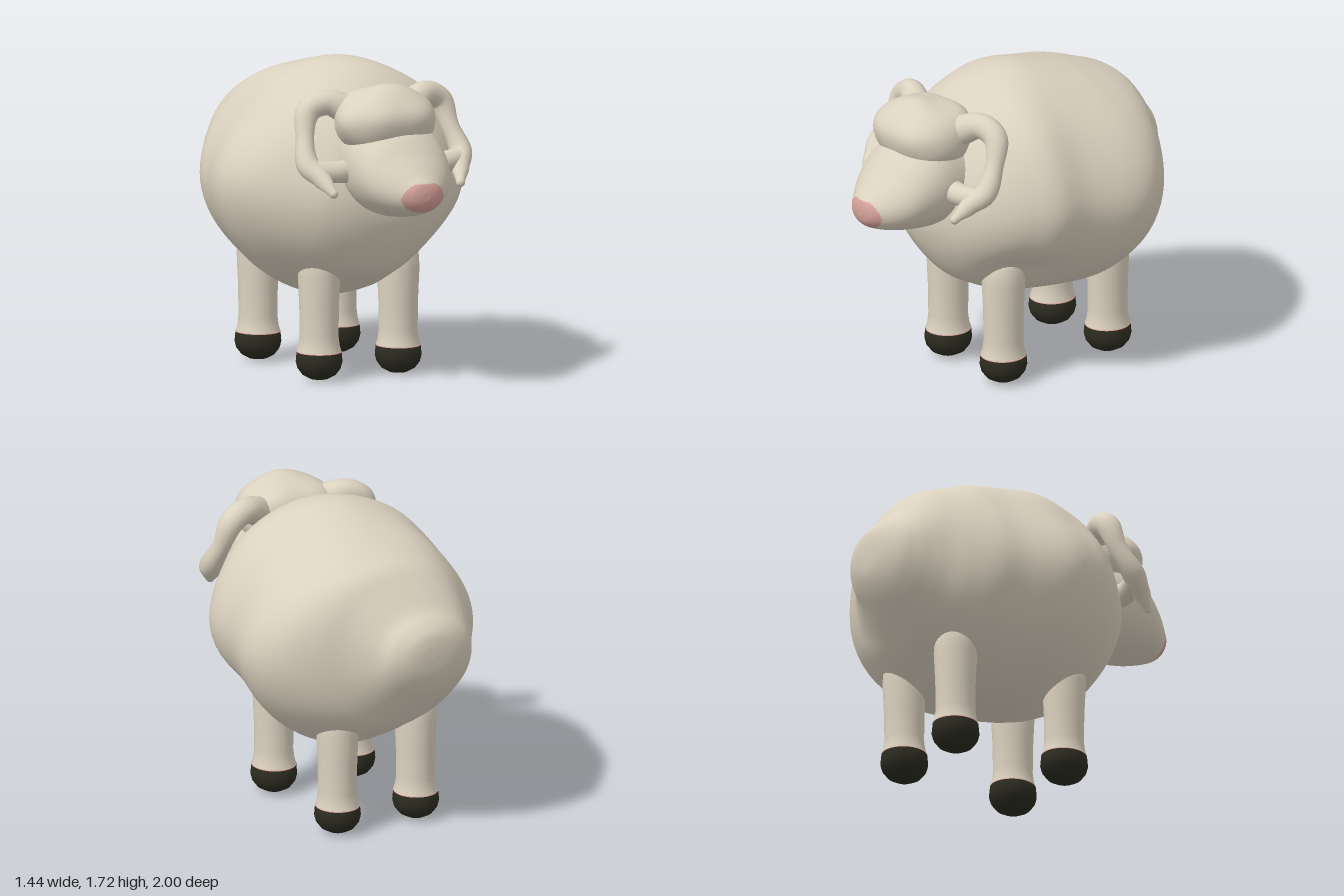
import * as THREE from 'three';

const mat = (name, color) => {
  const m = new THREE.MeshStandardMaterial({ color });
  m.name = name;
  return m;
};

// Cubic interpolation of one column of a section table
function spline(p0, p1, p2, p3, t) {
  const a = (p2 - p0) / 2, b = (p3 - p1) / 2;
  return (2 * p1 - 2 * p2 + a + b) * t ** 3 + (-3 * p1 + 3 * p2 - 2 * a - b) * t * t + a * t + p1;
}

// Loft along z through sections [z, xMin, xMax, yMin, yMax, power], where power sets how boxy the ring is.
// lumps [x, y, z, radius, height] push the skin out or in; isSecond(y, z) picks faces for a second material
function loft(sections, { steps = 6, sides = 72, floor = -1, lumps = [], isSecond = () => false } = {}) {
  const rows = [];
  const n = sections.length;
  for (let i = 0; i < n - 1; i++) {
    for (let k = 0; k < steps; k++) {
      const pick = [Math.max(i - 1, 0), i, i + 1, Math.min(i + 2, n - 1)].map((q) => sections[q]);
      rows.push(sections[0].map((_, c) => spline(...pick.map((s) => s[c]), k / steps)));
    }
  }
  rows.push(sections[n - 1]);

  const pos = [];
  for (const [z, x0, x1, y0, y1, power] of rows) {
    for (let j = 0; j < sides; j++) {
      const a = (j / sides) * Math.PI * 2;
      const c = Math.cos(a), s = Math.sin(a);
      const r = (Math.abs(c) ** power + Math.abs(s) ** power) ** (-1 / power);
      let x = (x0 + x1) / 2 + ((x1 - x0) / 2) * r * c;
      let y = (y0 + y1) / 2 + ((y1 - y0) / 2) * r * s;
      let push = 0;
      for (const [lx, ly, lz, lr, h] of lumps) {
        push += h * Math.exp(-((x - lx) ** 2 + (y - ly) ** 2 + (z - lz) ** 2) / (lr * lr));
      }
      x += push * c;
      y += push * s;
      pos.push(x, Math.max(y, floor), z);
    }
  }
  for (const [z, x0, x1, y0, y1] of [rows[0], rows[rows.length - 1]]) pos.push((x0 + x1) / 2, (y0 + y1) / 2, z);

  const faces = [[], []];
  const face = (...tri) => {
    const mean = (axis) => tri.reduce((sum, v) => sum + pos[v * 3 + axis], 0) / 3;
    faces[isSecond(mean(1), mean(2)) ? 1 : 0].push(...tri);
  };
  const first = rows.length * sides, base = first - sides;
  for (let j = 0; j < sides; j++) {
    const k = (j + 1) % sides;
    face(first, k, j);
    for (let i = 0; i < base; i += sides) {
      face(i + j, i + k, i + j + sides);
      face(i + k, i + k + sides, i + j + sides);
    }
    face(first + 1, base + j, base + k);
  }

  const g = new THREE.BufferGeometry();
  g.setAttribute('position', new THREE.Float32BufferAttribute(pos, 3));
  g.setIndex(faces.flat());
  g.addGroup(0, faces[0].length, 0);
  g.addGroup(faces[0].length, faces[1].length, 1);
  g.computeVertexNormals();
  return g;
}

// Rounded-box blob with soft bumps [dx, dy, dz, height]
function blob(radii, power, bumps) {
  const g = new THREE.SphereGeometry(1, 48, 32);
  const p = g.attributes.position, v = new THREE.Vector3();
  const lumps = bumps.map(([x, y, z, h]) => [new THREE.Vector3(x, y, z).normalize(), h]);
  for (let i = 0; i < p.count; i++) {
    v.fromBufferAttribute(p, i).normalize();
    let r = (Math.abs(v.x) ** power + Math.abs(v.y) ** power + Math.abs(v.z) ** power) ** (-1 / power);
    for (const [d, h] of lumps) r += h * Math.exp(-d.distanceToSquared(v) / 0.16);
    v.multiplyScalar(r);
    p.setXYZ(i, v.x * radii[0], v.y * radii[1], v.z * radii[2]);
  }
  g.computeVertexNormals();
  return g;
}

// Tube with a radius for each path point [x, y, z, r], mirrored by side
function taperedTube(points, side) {
  const curve = new THREE.CatmullRomCurve3(points.map(([x, y, z]) => new THREE.Vector3(x * side, y, z)));
  const segs = 40, sides = 18;
  const g = new THREE.TubeGeometry(curve, segs, 1, sides);
  const p = g.attributes.position, v = new THREE.Vector3();
  for (let i = 0; i <= segs; i++) {
    const u = curve.getUtoTmapping(i / segs) * (points.length - 1);
    const k = Math.min(Math.floor(u), points.length - 2);
    const r = THREE.MathUtils.lerp(points[k][3], points[k + 1][3], THREE.MathUtils.smoothstep(u - k, 0, 1));
    const c = curve.getPointAt(i / segs);
    for (let j = 0; j <= sides; j++) {
      const q = i * (sides + 1) + j;
      v.fromBufferAttribute(p, q).sub(c).multiplyScalar(r).add(c);
      p.setXYZ(q, v.x, v.y, v.z);
    }
  }
  return g;
}

const lathe = (pts) => new THREE.LatheGeometry(pts.map(([x, y]) => new THREE.Vector2(x, y)), 28);

export function createModel() {
  const wool = mat('wool cream', 0xdbd1bf);
  const pink = mat('nose pink', 0xd6a19a);
  const dark = mat('hoof black', 0x2b2b20);
  const model = new THREE.Group();
  model.name = 'sheep';
  const add = (name, geometry, material, x = 0, y = 0, z = 0, parent = model) => {
    const m = new THREE.Mesh(geometry, material);
    m.name = name;
    m.position.set(x, y, z);
    parent.add(m);
  };

  // Fleecy body, slightly lopsided, flat under the belly
  add('body', loft([
    [-1.0, -0.1, -0.02, 1.09, 1.16, 2],
    [-0.985, -0.23, 0.06, 0.99, 1.23, 2],
    [-0.94, -0.34, 0.14, 0.9, 1.285, 2.1],
    [-0.87, -0.39, 0.2, 0.81, 1.34, 2.2],
    [-0.78, -0.43, 0.32, 0.71, 1.45, 2.25],
    [-0.7, -0.47, 0.47, 0.63, 1.535, 2.2],
    [-0.6, -0.54, 0.605, 0.56, 1.58, 2.05],
    [-0.47, -0.615, 0.7, 0.48, 1.625, 1.87],
    [-0.32, -0.65, 0.72, 0.42, 1.665, 1.8],
    [-0.07, -0.72, 0.67, 0.41, 1.71, 1.77],
    [0.13, -0.67, 0.665, 0.46, 1.68, 1.8],
    [0.27, -0.59, 0.59, 0.52, 1.605, 1.85],
    [0.4, -0.47, 0.48, 0.6, 1.48, 1.9],
    [0.5, -0.35, 0.35, 0.74, 1.31, 2],
    [0.555, -0.19, 0.19, 0.88, 1.15, 2],
    [0.57, -0.03, 0.03, 0.99, 1.03, 2],
  ], {
    floor: 0.43,
    lumps: [
      [0.42, 0.64, 0.2, 0.2, -0.08], [0.4, 1.5, 0.1, 0.25, 0.025], [0.15, 1.7, 0, 0.2, 0.012],
      [-0.56, 1.4, 0, 0.2, -0.035], [-0.3, 1.55, -0.4, 0.2, 0.035], [0.55, 1.1, -0.62, 0.2, 0.015],
    ],
  }), [wool, wool]);

  // Blunt head with a pink nose
  add('head', loft([
    [0.4, -0.25, 0.25, 0.97, 1.45, 2],
    [0.6, -0.28, 0.28, 0.945, 1.5, 2],
    [0.75, -0.262, 0.262, 0.96, 1.42, 2],
    [0.85, -0.215, 0.215, 0.98, 1.315, 2],
    [0.94, -0.135, 0.135, 1.01, 1.22, 2],
    [0.985, -0.08, 0.08, 1.045, 1.175, 2],
    [1.0, -0.025, 0.025, 1.085, 1.13, 2],
  ], { steps: 10, isSecond: (y, z) => y < 1.175 && z > 0.943 + 0.35 * Math.max(0, y - 1.09) }), [wool, pink]);

  // Woolly forelock
  add('forelock', blob([0.272, 0.18, 0.22], 2.35, [
    [0, 1, 0.25, 0.16], [-1, 0.1, 0.3, 0.1], [0.5, 0.8, -0.8, 0.14], [-0.5, 0.6, -0.8, 0.1],
    [0.45, 0.2, 1, 0.1], [-0.45, 0.2, 1, 0.1],
  ]), wool, -0.02, 1.457, 0.545);

  // Curled horns, each joined to the cheek by an ear
  const hornPath = [
    [0.17, 1.5, 0.46, 0.085], [0.3, 1.555, 0.4, 0.07], [0.4, 1.51, 0.38, 0.066],
    [0.44, 1.37, 0.42, 0.05], [0.463, 1.24, 0.5, 0.062], [0.42, 1.17, 0.58, 0.05], [0.385, 1.1, 0.65, 0.025],
  ];
  const earPath = [[0.18, 1.2, 0.55, 0.07], [0.33, 1.2, 0.555, 0.06], [0.46, 1.215, 0.52, 0.055]];
  for (const side of [1, -1]) {
    const label = side > 0 ? 'left' : 'right';
    const horn = new THREE.Group();
    horn.name = `${label}Horn`;
    model.add(horn);
    add('hornCurl', taperedTube(hornPath, side), wool, 0, 0, 0, horn);
    add('hornTip', new THREE.SphereGeometry(0.025, 14, 10), wool, 0.385 * side, 1.1, 0.65, horn);
    add(`${label}Ear`, taperedTube(earPath, side), wool);

    // Legs with rounded hooves and a thin pink rim
    for (const [end, z] of [['Front', 0.2], ['Back', -0.515]]) {
      const leg = new THREE.Group();
      leg.name = `${label}${end}Leg`;
      leg.position.set(0.24 * side, 0, z);
      leg.scale.z = 1.05;
      model.add(leg);
      add('shin', lathe([[0.119, 0.157], [0.11, 0.19], [0.104, 0.24], [0.106, 0.4], [0.114, 0.58], [0.108, 0.68], [0.08, 0.73], [0, 0.75]]),
        wool, 0, 0, 0, leg);
      add('hoofRim', lathe([[0.1205, 0.153], [0.1205, 0.158], [0.11, 0.16]]), pink, 0, 0, 0, leg);
      add('hoof', lathe([[0, 0], [0.05, 0.008], [0.09, 0.03], [0.116, 0.065], [0.125, 0.1], [0.12, 0.155], [0.1, 0.157]]),
        dark, 0, 0, 0, leg);
    }
  }
  return model;
}
